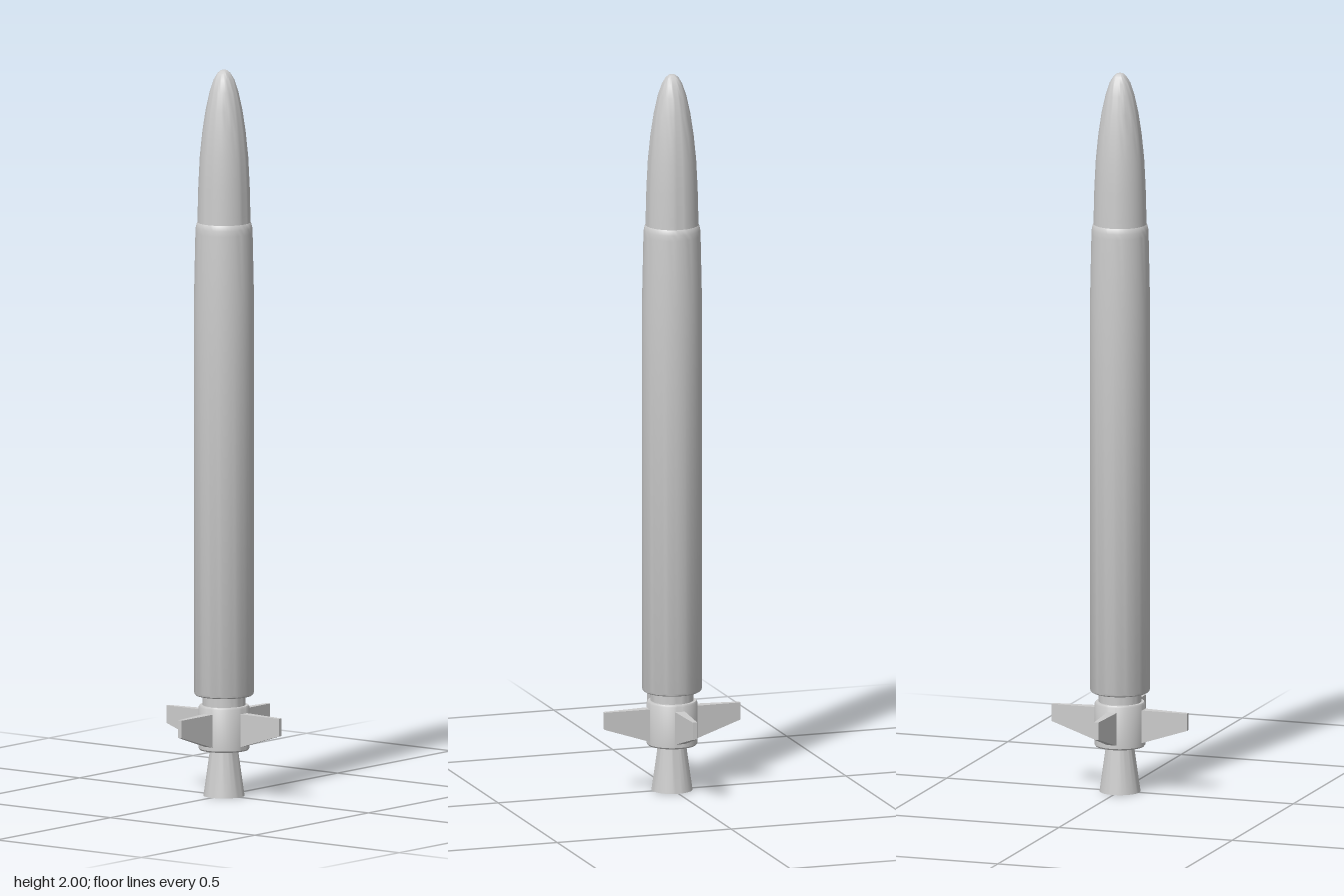
import * as THREE from 'three';
import { toCreasedNormals } from 'three/addons/utils/BufferGeometryUtils.js';

const material = new THREE.MeshStandardMaterial({ color: 0xcccccc });

// Round part from [radius, height] pairs, listed from the bottom up
function turned(name, profile, crease = 0.6) {
  const points = profile.map(([r, y]) => new THREE.Vector2(r, y));
  const mesh = new THREE.Mesh(toCreasedNormals(new THREE.LatheGeometry(points, 48), crease), material);
  mesh.name = name;
  return mesh;
}

// Swept fin along +x, narrowing in height and thickness towards its tip
function finGeometry() {
  const root = { x: 0.05, bottom: 0.135, top: 0.232, half: 0.015 };
  const tip = { x: 0.195, bottom: 0.182, top: 0.23, half: 0.006 };
  const geometry = new THREE.BoxGeometry(1, 1, 1);
  const p = geometry.attributes.position;
  for (let i = 0; i < p.count; i++) {
    const end = p.getX(i) > 0 ? tip : root;
    p.setXYZ(i, end.x, p.getY(i) > 0 ? end.top : end.bottom, Math.sign(p.getZ(i)) * end.half);
  }
  geometry.computeVertexNormals();
  return geometry;
}

export function createModel() {
  const rocket = new THREE.Group();
  rocket.name = 'rocket';

  // Flared exhaust, hollow at the bottom
  rocket.add(turned('nozzle', [
    [0, 0.1], [0.03, 0.1], [0.05, 0], [0.056, 0], [0.037, 0.135],
  ]));

  // Ring that carries the fins
  rocket.add(turned('finCollar', [
    [0, 0.127], [0.066, 0.127], [0.069, 0.131], [0.069, 0.245], [0.066, 0.25], [0, 0.25],
  ]));

  // Narrow joint between collar and body
  rocket.add(turned('neck', [[0.058, 0.245], [0.058, 0.285]]));

  // Long body with a slight taper and a rounded shoulder
  rocket.add(turned('body', [
    [0, 0.277], [0.076, 0.277], [0.08, 0.28], [0.082, 0.286], [0.082, 1.36],
    [0.078, 1.55], [0.077, 1.565], [0.074, 1.578], [0.069, 1.584],
  ]));

  // Pointed nose with a blunt tip
  rocket.add(turned('noseCone', [
    [0.073, 1.56], [0.072, 1.6], [0.07, 1.68], [0.066, 1.76], [0.059, 1.83], [0.05, 1.89],
    [0.039, 1.94], [0.028, 1.973], [0.018, 1.99], [0.009, 1.998], [0, 2],
  ]));

  // Four fins around the collar
  const fin = finGeometry();
  for (let i = 0; i < 4; i++) {
    const mesh = new THREE.Mesh(fin, material);
    mesh.name = 'fin' + (i + 1);
    mesh.rotation.y = (i * Math.PI) / 2;
    rocket.add(mesh);
  }
  return rocket;
}
